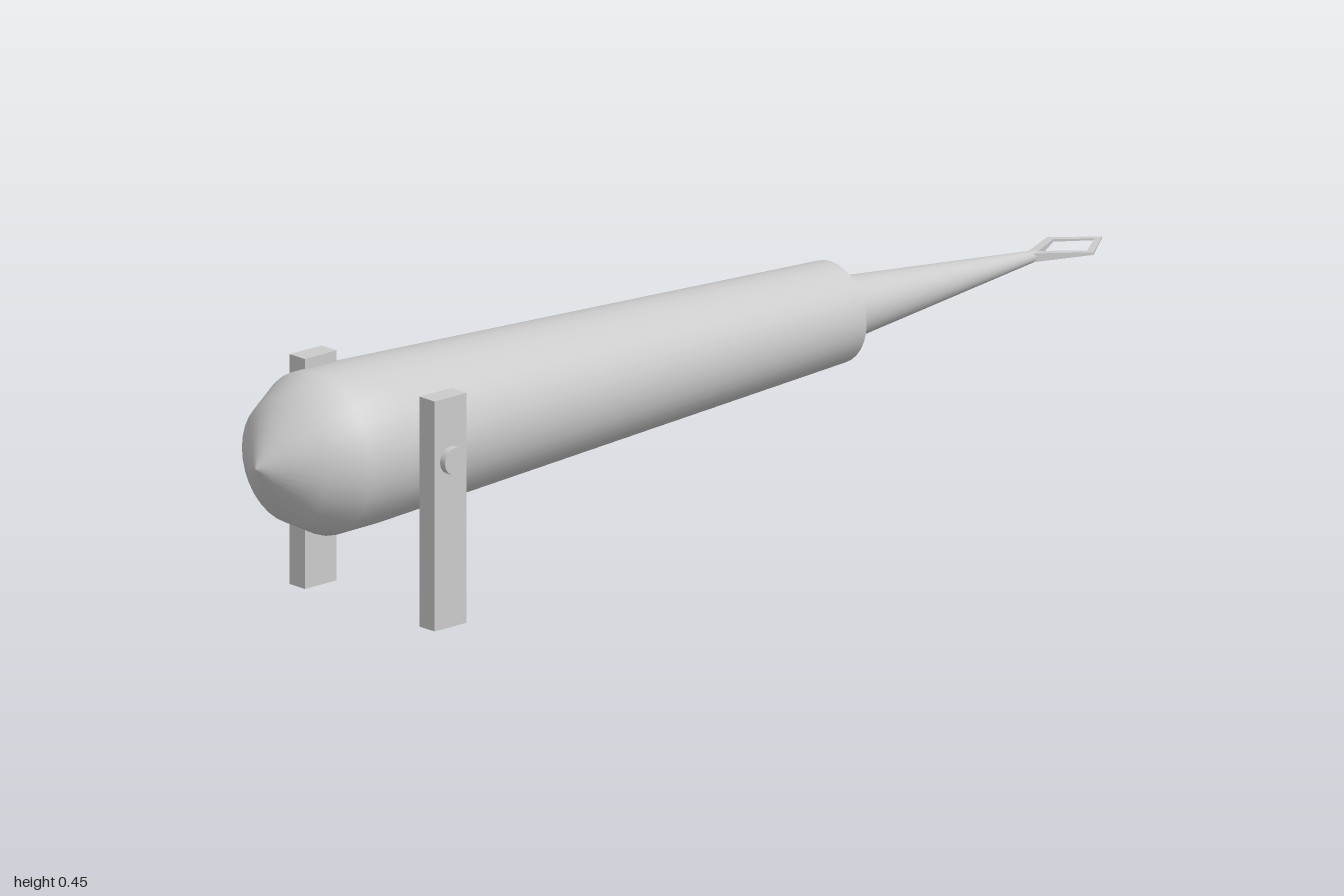
import * as THREE from 'three';

const AXIS_Y = 0.306;
const material = new THREE.MeshStandardMaterial({ color: 0xcccccc });

function add(parent, name, geometry, x, y, z) {
  const mesh = new THREE.Mesh(geometry, material);
  mesh.name = name;
  mesh.position.set(x, y, z);
  parent.add(mesh);
  return mesh;
}

// Revolves [x, radius] pairs around the long axis
function revolve(profile, sides = 32) {
  const points = profile.map(([x, r]) => new THREE.Vector2(r, x));
  return new THREE.LatheGeometry(points, sides).rotateZ(-Math.PI / 2);
}

// Flat diamond ring whose thickness thins out towards its far end
function forkGeometry() {
  const outline = (pts) => pts.map(([x, z]) => new THREE.Vector2(x, z));
  const shape = new THREE.Shape(outline([
    [0.83, -0.007], [0.925, -0.06], [1, 0], [0.925, 0.06], [0.83, 0.007],
  ]));
  shape.holes.push(new THREE.Path(outline([
    [0.85, 0], [0.925, 0.044], [0.982, 0], [0.925, -0.044],
  ])));
  const geometry = new THREE.ExtrudeGeometry(shape, { depth: 2, bevelEnabled: false });
  geometry.translate(0, 0, -1).rotateX(Math.PI / 2);
  const pos = geometry.attributes.position;
  for (let i = 0; i < pos.count; i++) {
    const t = Math.min(1, (pos.getX(i) - 0.83) / 0.11);
    pos.setY(i, pos.getY(i) * THREE.MathUtils.lerp(0.008, 0.0015, t));
  }
  geometry.computeVertexNormals();
  return geometry;
}

export function createModel() {
  const model = new THREE.Group();
  model.name = 'model';

  // Tapered barrel with a rounded rear end and a flat mouth
  add(model, 'barrel', revolve([
    [-1, 0], [-0.985, 0.028], [-0.93, 0.111], [-0.86, 0.147], [-0.76, 0.146], [0.36, 0.092],
  ]), 0, AXIS_Y, 0);
  add(model, 'barrelMouth', revolve([[0.36, 0.092], [0.36, 0]]), 0, AXIS_Y, 0);

  // Long spike with a diamond fork at its tip
  add(model, 'spike', revolve([[0.36, 0.06], [0.84, 0.01], [0.865, 0]]), 0, AXIS_Y, 0);
  add(model, 'fork', forkGeometry(), 0, AXIS_Y, 0);

  // Upright posts with pivot pins on both sides
  for (const side of [1, -1]) {
    const support = new THREE.Group();
    support.name = side > 0 ? 'frontSupport' : 'backSupport';
    add(support, 'post', new THREE.BoxGeometry(0.075, 0.42, 0.039), -0.71, 0.21, side * 0.1675);
    const pin = new THREE.CylinderGeometry(0.025, 0.025, 0.08, 16).rotateX(Math.PI / 2);
    add(support, 'pin', pin, -0.71, AXIS_Y, side * 0.16);
    model.add(support);
  }
  return model;
}
